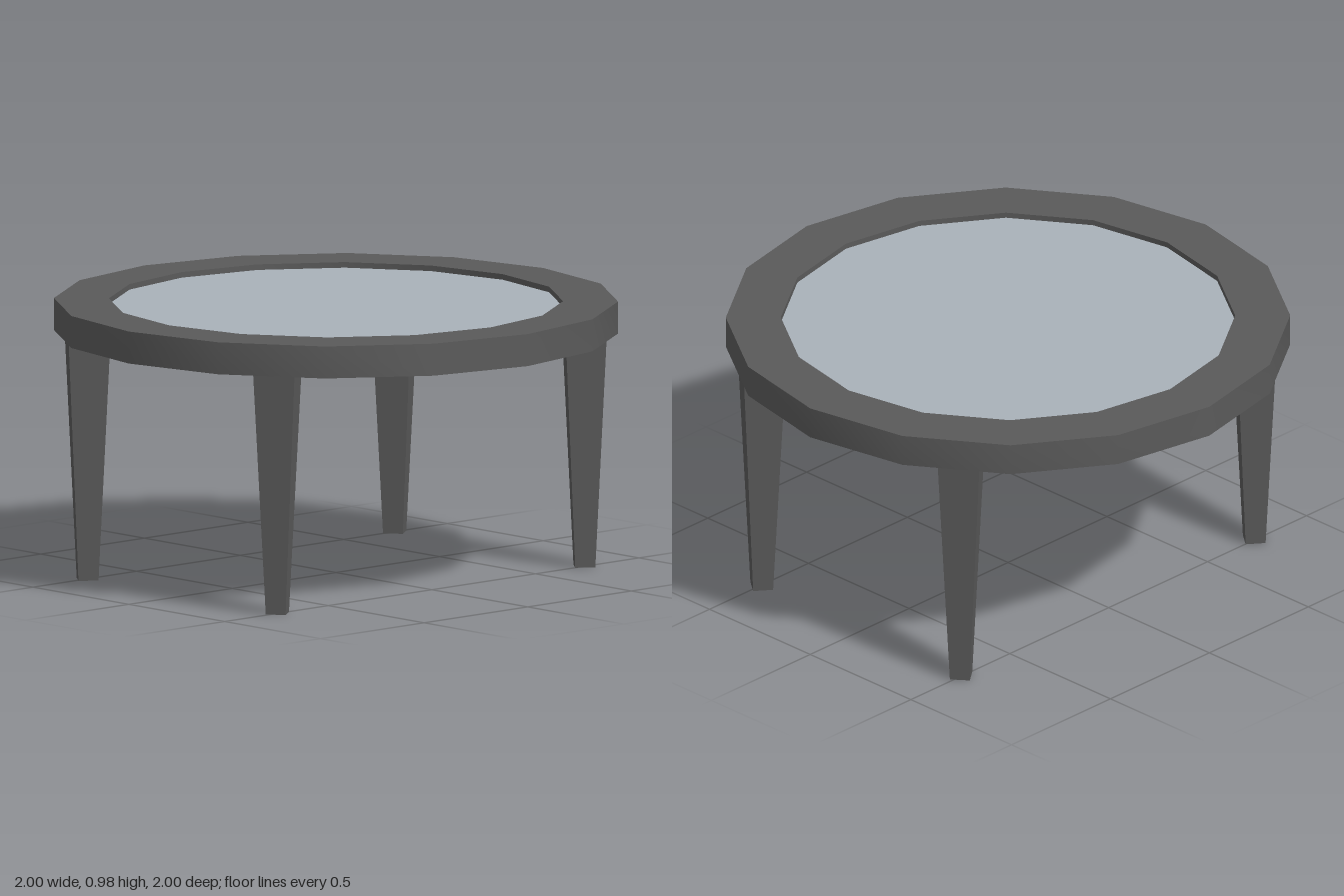
import * as THREE from 'three';
import { toCreasedNormals } from 'three/addons/utils/BufferGeometryUtils.js';

const SIDES = 16;
const UNDERSIDE = 0.865;
const TOP = 0.98;

export function createModel() {
  const table = new THREE.Group();
  table.name = 'roundTable';
  const frameMaterial = new THREE.MeshStandardMaterial({ color: 0x5a5a5a });
  const legMaterial = new THREE.MeshStandardMaterial({ color: 0x5a5a5a, flatShading: true });
  const glassMaterial = new THREE.MeshStandardMaterial({ color: 0xa9b1b9 });

  // Ring frame: rectangular section turned around the axis
  const section = [
    [1, UNDERSIDE], [1, TOP], [0.805, TOP], [0.805, UNDERSIDE], [1, UNDERSIDE],
  ].map(([r, y]) => new THREE.Vector2(r, y));
  const ring = toCreasedNormals(new THREE.LatheGeometry(section, SIDES), Math.PI / 6);
  const frame = new THREE.Mesh(ring, frameMaterial);
  frame.name = 'topFrame';
  table.add(frame);

  // Glass panel, slightly recessed above and below
  const glass = new THREE.Mesh(new THREE.CylinderGeometry(0.805, 0.805, 0.075, SIDES), glassMaterial);
  glass.name = 'glassPanel';
  glass.position.y = 0.9225;
  table.add(glass);

  // Four tapered square legs, mirrored left-right and front-back
  const legGeometry = new THREE.CylinderGeometry(0.105, 0.0505, UNDERSIDE, 4);
  for (const sx of [1, -1]) {
    for (const sz of [1, -1]) {
      const leg = new THREE.Mesh(legGeometry, legMaterial);
      leg.name = (sz > 0 ? 'front' : 'back') + (sx > 0 ? 'Left' : 'Right') + 'Leg';
      leg.position.set(sx * 0.741, UNDERSIDE / 2, sz * 0.495);
      leg.rotation.y = 0.13 * sx * sz;
      table.add(leg);
    }
  }
  return table;
}
